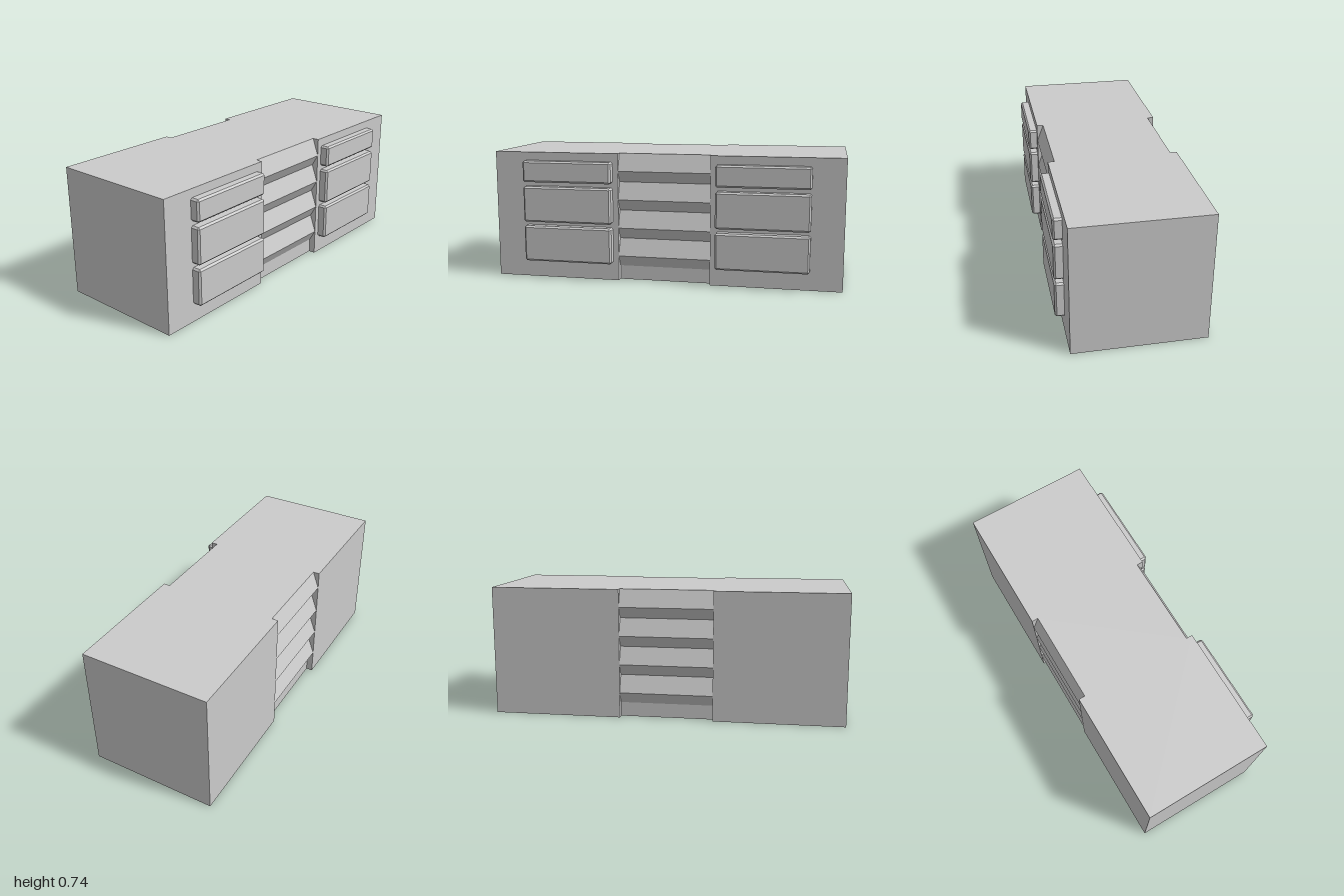
import * as THREE from 'three';
import { ConvexGeometry } from 'three/addons/geometries/ConvexGeometry.js';

const material = new THREE.MeshStandardMaterial({ color: 0xcccccc, flatShading: true });

const LEFT = -0.39, RIGHT = 0.34, HEIGHT = 0.735;
const RECESS = 0.265; // half length of the louvred middle
const DEPTH = 0.037;

function addMesh(parent, name, geometry) {
  const mesh = new THREE.Mesh(geometry, material);
  mesh.name = name;
  parent.add(mesh);
  return mesh;
}

// Box with every edge chamfered except those against the cabinet (at x0)
function panelGeometry(x0, x1, y0, y1, z0, z1, c) {
  const points = [];
  for (const [y, sy] of [[y0, 1], [y1, -1]]) {
    for (const [z, sz] of [[z0, 1], [z1, -1]]) {
      for (const x of [x0, x1 - c]) {
        points.push(new THREE.Vector3(x, y + sy * c, z));
        points.push(new THREE.Vector3(x, y, z + sz * c));
      }
      points.push(new THREE.Vector3(x1, y + sy * c, z + sz * c));
    }
  }
  return new ConvexGeometry(points);
}

// Sawtooth louvre profile from top to bottom: [inset, y]
function louvreProfile() {
  const profile = [[DEPTH, HEIGHT]];
  for (let i = 0; i < 4; i++) {
    const top = HEIGHT - i * 0.1635;
    profile.push([0, top - 0.1], [DEPTH, top - 0.1635]);
  }
  profile.push([DEPTH, 0]);
  return profile;
}

export function createModel() {
  const group = new THREE.Group();
  group.name = 'cabinet';

  // Solid end blocks
  const length = 1 - RECESS;
  for (const s of [1, -1]) {
    const block = addMesh(group, s > 0 ? 'frontBlock' : 'backBlock',
      new THREE.BoxGeometry(RIGHT - LEFT, HEIGHT, length));
    block.position.set((LEFT + RIGHT) / 2, HEIGHT / 2, s * (RECESS + length / 2));
  }

  // Louvred middle, with the same slats on both sides
  const profile = louvreProfile();
  const outline = [
    ...profile.map(([d, y]) => new THREE.Vector2(LEFT + d, y)),
    ...profile.reverse().map(([d, y]) => new THREE.Vector2(RIGHT - d, y)),
  ];
  const louvres = addMesh(group, 'louvredMiddle', new THREE.ExtrudeGeometry(
    new THREE.Shape(outline), { depth: 2 * RECESS, bevelEnabled: false }));
  louvres.position.z = -RECESS;

  // Two stacks of three chamfered drawer fronts
  const rows = [[0.102, 0.31], [0.333, 0.54], [0.565, 0.688]];
  for (const [side, z0, z1] of [['front', 0.297, 0.82], ['back', -0.82, -0.297]]) {
    const stack = new THREE.Group();
    stack.name = side + 'Drawers';
    for (const [y0, y1] of rows) {
      addMesh(stack, 'drawerFront', panelGeometry(RIGHT, 0.39, y0, y1, z0, z1, 0.01));
    }
    group.add(stack);
  }

  return group;
}
